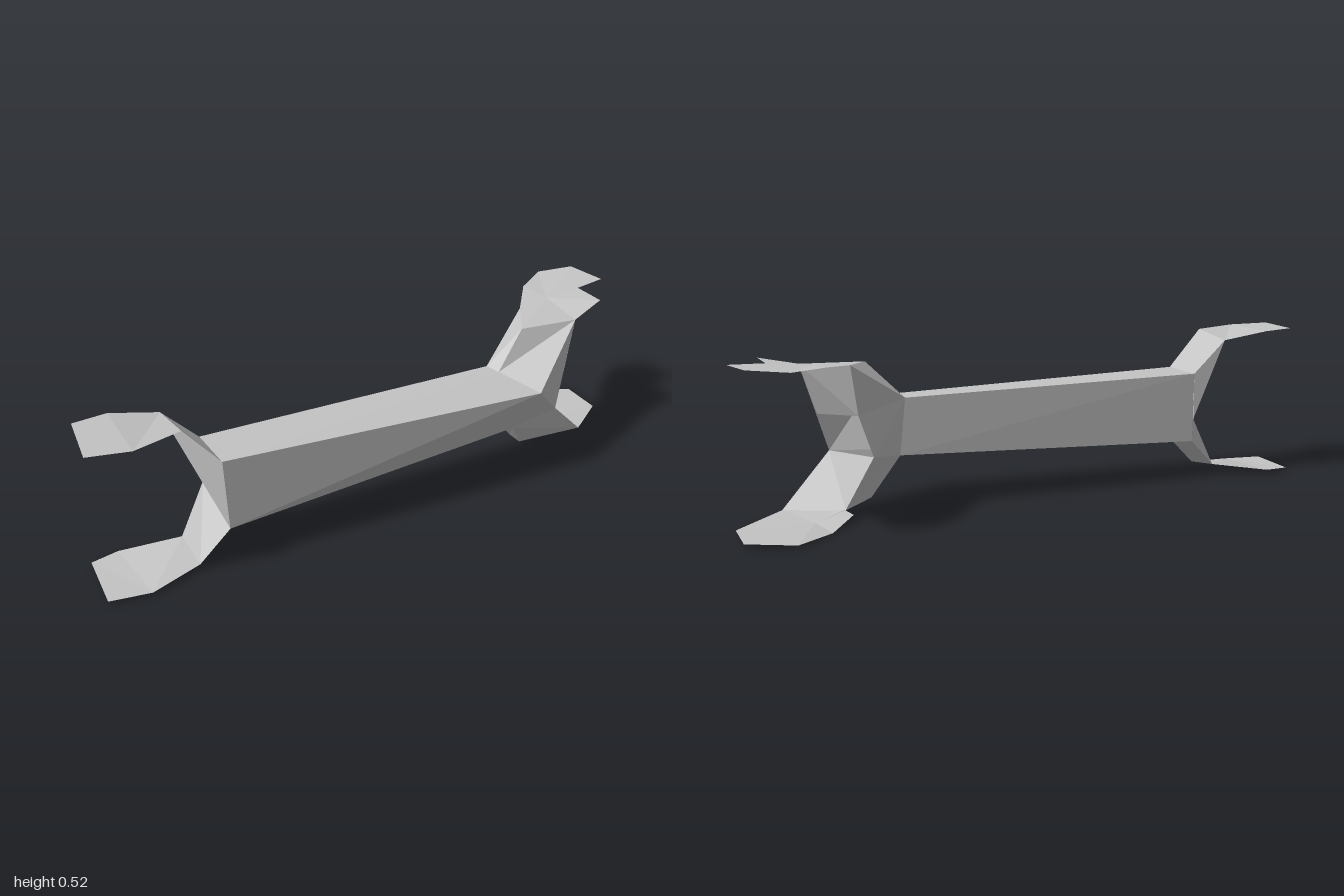
import * as THREE from 'three';

export function createModel() {
  const model = new THREE.Group();
  const grey = new THREE.MeshStandardMaterial({ color: 0xc4c4c4, flatShading: true, side: THREE.DoubleSide });
  grey.name = 'grey';

  // Build one part from polygons; each polygon is fanned from its first corner
  function part(name, ...polygons) {
    const corners = [];
    for (const p of polygons)
      for (let i = 1; i < p.length - 1; i++) corners.push(...p[0], ...p[i], ...p[i + 1]);
    const geometry = new THREE.BufferGeometry();
    geometry.setAttribute('position', new THREE.Float32BufferAttribute(corners, 3));
    geometry.computeVertexNormals();
    const mesh = new THREE.Mesh(geometry, grey);
    mesh.name = name;
    model.add(mesh);
  }

  // Shaft corners at the narrow end
  const topFront = [-0.6, 0.375, 0.14], topBack = [-0.6, 0.375, -0.025];
  const lowFront = [-0.59, 0.13, 0.14], lowBack = [-0.6, 0.135, -0.02], notch = [-0.6, 0.215, -0.025];
  // Shaft corners at the wide end
  const apex = [0.5, 0.335, 0.245], ridge = [0.44, 0.36, 0.09], shoulder = [0.43, 0.36, 0.035];
  const bellyFront = [0.46, 0.17, 0.16], bellyBack = [0.45, 0.175, 0.035];

  part('shaft',
    [lowFront, apex, topFront], [lowFront, bellyFront, apex],
    [topFront, apex, ridge], [topFront, ridge, shoulder, topBack],
    [topBack, shoulder, bellyBack, lowBack],
    [lowBack, bellyBack, bellyFront, lowFront]);

  // Narrow end: two bent prongs with leaf-like tips
  const upBack = [-0.71, 0.487, -0.04], upFront = [-0.71, 0.508, 0.125];
  part('narrowEndUpperArm',
    [topFront, topBack, upBack, upFront], [upBack, notch, lowFront],
    [upBack, topBack, notch], [upBack, lowFront, topFront]);
  part('narrowEndUpperTip',
    [[-0.87, 0.512, 0.162], upFront, upBack, [-0.86, 0.514, -0.07], [-0.97, 0.518, -0.06], [-1, 0.516, 0.13]]);

  const downFront = [-0.69, 0.022, 0.122], downBack = [-0.69, 0.042, -0.015];
  part('narrowEndLowerArm',
    [notch, lowFront, downFront, downBack], [notch, lowBack, downBack],
    [lowBack, lowFront, downFront, downBack]);
  part('narrowEndLowerTip',
    [[-0.86, 0.008, 0.158], downFront, downBack, [-0.88, 0.016, -0.08], [-0.97, 0.013, -0.07], [-0.99, 0.009, 0.13]]);

  // Wide end: upper arm, with the shaft left open below its waist
  const brow = [0.55, 0.48, 0.06], browEnd = [0.75, 0.48, 0.098], browBack = [0.63, 0.49, -0.057];
  const waistFront = [0.69, 0.313, 0.13], waistBack = [0.6, 0.326, -0.025];
  const creaseFront = [0.65, 0.187, 0.15], creaseBack = [0.555, 0.192, -0.025];
  part('wideEndUpperArm',
    [ridge, browEnd, brow], [ridge, apex, browEnd], [shoulder, ridge, brow],
    [apex, creaseFront, browEnd], [browEnd, creaseFront, waistFront],
    [browEnd, waistFront, waistBack, browBack],
    [shoulder, brow, browBack, waistBack], [shoulder, waistBack, creaseBack, bellyBack]);

  // Two-lobed upper tip, fanned from its middle
  part('wideEndUpperTip',
    [[0.75, 0.498, -0.065], brow, browBack, [0.73, 0.506, -0.17], [0.85, 0.509, -0.24], [0.97, 0.518, -0.2],
      [0.995, 0.515, -0.06], [0.88, 0.511, -0.05], [0.88, 0.511, 0.07], browEnd, brow]);

  // Wide end: lower arm and single-lobed tip
  const heelFront = [0.55, 0.05, 0.09], heelBack = [0.55, 0.05, 0.03];
  const toeFront = [0.82, 0.024, 0.092], instep = [0.645, 0.028, -0.008];
  part('wideEndLowerArm',
    [apex, bellyFront, creaseFront],
    [bellyFront, heelFront, toeFront, creaseFront],
    [creaseFront, toeFront, instep], [creaseFront, instep, creaseBack],
    [bellyBack, creaseBack, instep, heelBack],
    [bellyFront, bellyBack, heelBack, heelFront]);
  part('wideEndLowerTip',
    [[0.75, 0.01, -0.04], heelFront, toeFront, [0.985, 0.01, -0.02], [0.99, 0.011, -0.17],
      [0.85, 0.01, -0.243], [0.72, 0, -0.135], [0.63, 0.022, -0.045], instep, heelBack, heelFront]);

  return model;
}
